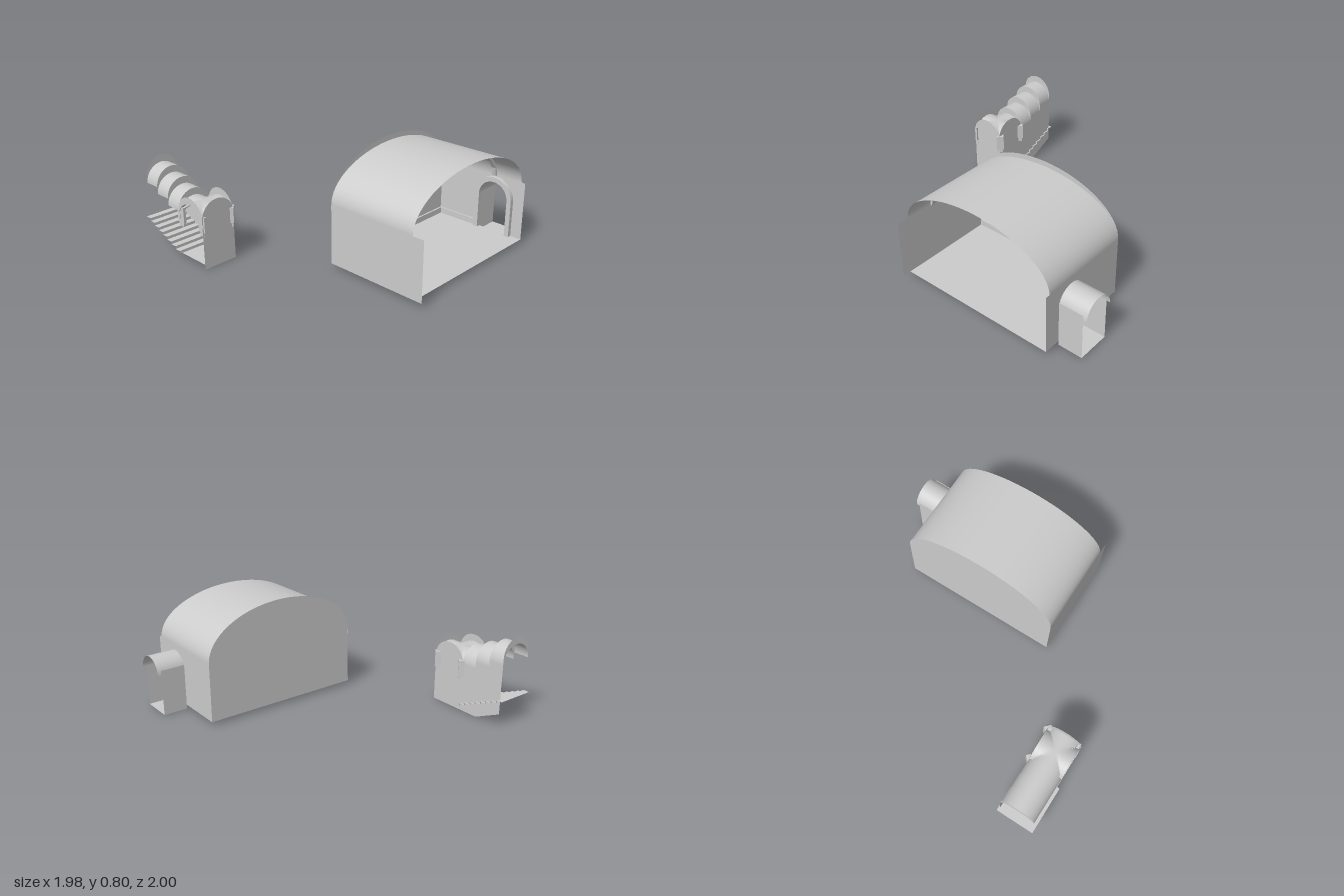
import * as THREE from 'three';
import { ParametricGeometry } from 'three/addons/geometries/ParametricGeometry.js';
import { toCreasedNormals } from 'three/addons/utils/BufferGeometryUtils.js';

const mat = new THREE.MeshStandardMaterial({ color: 0xcccccc, side: THREE.DoubleSide });

function add(parent, name, geometry, x = 0, y = 0, z = 0) {
  const mesh = new THREE.Mesh(geometry, mat);
  mesh.name = name;
  mesh.position.set(x, y, z);
  parent.add(mesh);
  return mesh;
}

function box(parent, name, x0, x1, y0, y1, z0, z1) {
  return add(parent, name, new THREE.BoxGeometry(x1 - x0, y1 - y0, z1 - z0),
    (x0 + x1) / 2, (y0 + y1) / 2, (z0 + z1) / 2);
}

// Points of a half ellipse from one springing to the other
function arc(c, spring, rx, ry, n = 32) {
  return Array.from({ length: n + 1 }, (_, i) => {
    const a = Math.PI * i / n;
    return new THREE.Vector2(c + rx * Math.cos(a), spring + ry * Math.sin(a));
  });
}

// Round-topped panel outline
function archOutline(c, base, spring, rx, ry) {
  return [new THREE.Vector2(c - rx, base), new THREE.Vector2(c + rx, base), ...arc(c, spring, rx, ry)];
}

// Flat sheet facing z, or standing across x (shape x becomes z)
const sheetZ = (pts) => new THREE.ShapeGeometry(new THREE.Shape(pts));
const sheetX = (pts) => sheetZ(pts).rotateY(-Math.PI / 2);

// Barrel vault along x
function barrelX(x0, x1, zc, spring, rz, ry) {
  return new ParametricGeometry((u, v, p) => {
    const a = Math.PI * v;
    p.set(x0 + (x1 - x0) * u, spring + ry * Math.sin(a), zc + rz * Math.cos(a));
  }, 1, 32);
}

function floor(parent, name, x0, x1, z0, z1, y) {
  add(parent, name, new THREE.PlaneGeometry(x1 - x0, z1 - z0).rotateX(-Math.PI / 2),
    (x0 + x1) / 2, y, (z0 + z1) / 2);
}

function buildHall() {
  const g = new THREE.Group();
  g.name = 'vaultedHall';
  const zc = -0.208, rz = 0.59, y0 = 0.035, spring = 0.46;
  const zf = zc + rz, zb = zc - rz;
  floor(g, 'hallFloor', 0.222, 0.93, zb, zf, y0);
  add(g, 'frontWall', new THREE.PlaneGeometry(0.765, spring - y0), 0.604, (spring + y0) / 2, zf);
  add(g, 'endWall', sheetX(archOutline(zc, y0, spring, rz, 0.34)), 0.222);
  add(g, 'barrelVault', barrelX(0.222, 0.9, zc, spring, rz, 0.302));

  // Back wall cut by the arched doorway
  const V = (x, y) => new THREE.Vector2(x, y);
  const dc = 0.695, dr = 0.116, ds = 0.3;
  add(g, 'backWall', sheetZ([V(0.222, y0), V(dc - dr, y0), ...arc(dc, ds, dr, dr).reverse(),
    V(dc + dr, y0), V(0.93, y0), V(0.93, spring), V(0.222, spring)]), 0, 0, zb);

  // Rib under the vault
  const rib = new THREE.Shape([...arc(zc, spring, rz, 0.3, 14), ...arc(zc, spring, rz - 0.016, 0.282, 14).reverse()]);
  add(g, 'vaultRib', new THREE.ExtrudeGeometry(rib, { depth: 0.03, bevelEnabled: false }).rotateY(-Math.PI / 2), 0.7);

  // Doorway surround
  const out = dr + 0.035;
  const frame = new THREE.Shape([V(dc + dr, y0), V(dc + out, y0), ...arc(dc, ds, out, out),
    V(dc - out, y0), V(dc - dr, y0), ...arc(dc, ds, dr, dr).reverse()]);
  add(g, 'doorSurround', toCreasedNormals(
    new THREE.ExtrudeGeometry(frame, { depth: 0.03, bevelEnabled: false }), 0.6), 0, 0, zb);

  // Skirting boards
  box(g, 'endSkirting', 0.222, 0.235, y0, 0.078, zb, zf);
  box(g, 'backSkirting', 0.222, dc - out, y0, 0.078, zb, zb + 0.013);

  // Short passage behind the doorway
  const passage = new THREE.Group();
  passage.name = 'backPassage';
  g.add(passage);
  for (const s of [-1, 1])
    add(passage, 'passageWall', new THREE.PlaneGeometry(0.177, 0.335).rotateY(Math.PI / 2),
      dc + s * dr, 0.1725, zb - 0.0885);
  floor(passage, 'passageFloor', dc - dr, dc + dr, zb - 0.177, zb, 0.006);
  add(passage, 'passageVault', new ParametricGeometry((u, v, p) => {
    const a = Math.PI * u;
    p.set(dc + dr * Math.cos(a), ds + dr * Math.sin(a), zb - 0.202 * v);
  }, 24, 1));
  return g;
}

function buildStairway() {
  const g = new THREE.Group();
  g.name = 'stairway';
  const zc = 0.855, r = 0.125, xs = [-0.972, -0.855, -0.737, -0.62];
  const springs = [0.455, 0.405, 0.355], base = 0.305, lift = 0.05;
  const cx = -0.49, half = 0.13, xe = cx + half, zb = zc - r, zf = zc + r;
  const V = (x, y) => new THREE.Vector2(x, y);

  // Stepped barrels, each with a crescent riser at its upper end
  for (let i = 0; i < 4; i++) {
    const s = i < 3 ? springs[i] : base;
    if (i < 3) add(g, 'steppedVault', barrelX(xs[i], xs[i + 1], zc, s, r, r));
    add(g, 'vaultRiser', sheetX([...arc(zc, s + lift, r, r), ...arc(zc, s, r, r).reverse()]), xs[i]);
  }

  // Cross vault over the landing
  const groin = new ParametricGeometry((u, v, p) => {
    const a = Math.PI * u, b = Math.PI * v;
    p.set(cx - half * Math.cos(a), base + r * Math.max(Math.sin(a), Math.sin(b)), zc - r * Math.cos(b));
  }, 24, 24);
  add(g, 'crossVault', toCreasedNormals(groin, 0.5));

  // Diagonal ribs
  for (const s of [-1, 1]) {
    const path = Array.from({ length: 13 }, (_, i) => {
      const a = Math.PI * i / 12, k = 0.97 * Math.cos(a);
      return new THREE.Vector3(cx + half * k, base - 0.005 + (r - 0.005) * Math.sin(a), zc + s * r * k);
    });
    add(g, 'diagonalRib', new THREE.TubeGeometry(new THREE.CatmullRomCurve3(path), 24, 0.01, 6));
  }

  // Walls and landing
  add(g, 'backWall', sheetZ([V(xs[0], 0.1), V(-0.8, 0.02), V(-0.76, 0.005), V(xe, 0.005),
    ...arc(cx, base + lift, half, r), V(xs[3], springs[2]), V(xs[2], springs[2]), V(xs[2], springs[1]),
    V(xs[1], springs[1]), V(xs[1], springs[0]), V(xs[0], springs[0])]), 0, 0, zb);
  add(g, 'landingEndWall', sheetX(archOutline(zc, 0.005, base + lift, r + 0.003, r)), xe);
  add(g, 'frontLunette', sheetZ([...arc(cx, base + lift, half, r), ...arc(cx, base, half, r).reverse()]), 0, 0, zf);
  floor(g, 'landingFloor', xs[3], xe, zb, zf, 0.038);
  box(g, 'skirting', -0.737, xe, 0.038, 0.078, zb, zb + 0.01);

  // Thin folded flight of steps
  const n = 8, run = 0.375 / n, rise = 0.162 / n, width = 0.28;
  for (let i = 0; i < n; i++) {
    const x = -0.62 - i * run, y = 0.038 + i * rise;
    add(g, 'stepRiser', new THREE.PlaneGeometry(width, rise).rotateY(Math.PI / 2), x, y + rise / 2, 0.86);
    floor(g, 'stepTread', x - run, x, 0.72, 1.0, y + rise);
  }

  // Corbels under the cross vault
  for (const x of [-0.608, -0.38]) {
    for (const [z, w] of [[0.738, 0.053], [0.966, 0.018]]) {
      const c = new THREE.Group();
      c.name = 'corbel';
      c.position.set(x, 0, z);
      const rear = z < zc;
      if (rear) c.rotation.y = Math.PI / 4;
      const d = rear ? w : 0.065;
      box(c, 'corbelBlock', -d / 2, d / 2, 0.268, 0.38, -w / 2, w / 2);
      box(c, 'corbelFoot', -d * 0.36, d * 0.36, 0.24, 0.268, -w * 0.36, w * 0.36);
      g.add(c);
    }
  }
  return g;
}

export function createModel() {
  const model = new THREE.Group();
  model.name = 'hallAndStairway';
  model.add(buildHall(), buildStairway());
  return model;
}
